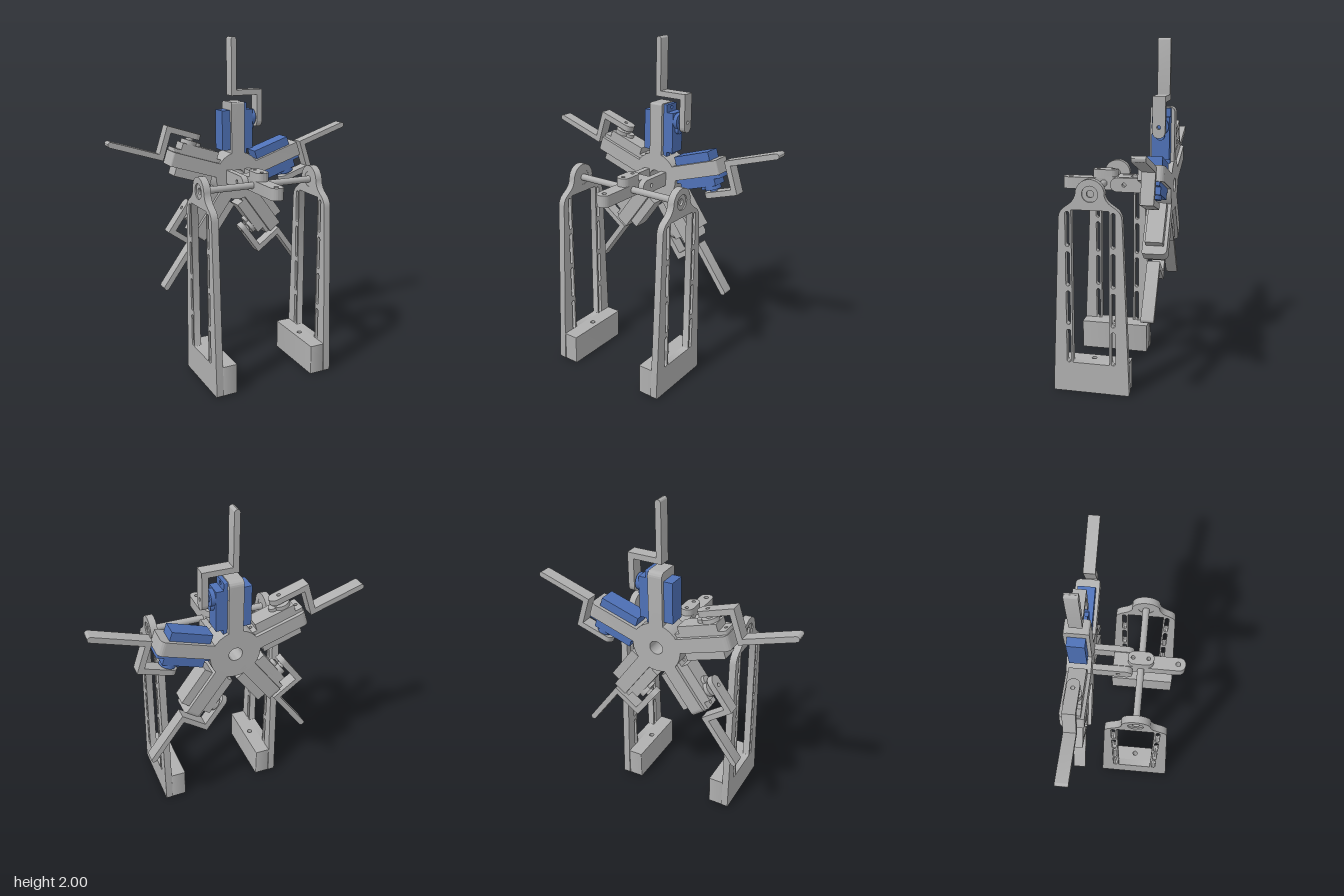
import * as THREE from 'three';
import { toCreasedNormals } from 'three/addons/utils/BufferGeometryUtils.js';

const grey = new THREE.MeshStandardMaterial({ color: 0xb0b0b0 });
grey.name = 'grey plastic';
const blue = new THREE.MeshStandardMaterial({ color: 0x4f72b8 });
blue.name = 'servo blue';

const HUB_Y = 1.17, HUB_Z = -0.265, ROD_Z = 0.078;

function add(parent, name, geometry, material = grey) {
  const mesh = new THREE.Mesh(geometry, material);
  mesh.name = name;
  parent.add(mesh);
  return mesh;
}

// Box from its limits on each axis
function box(x0, x1, y0, y1, z0, z1) {
  return new THREE.BoxGeometry(x1 - x0, y1 - y0, z1 - z0)
    .translate((x0 + x1) / 2, (y0 + y1) / 2, (z0 + z1) / 2);
}

function cylX(r, x0, x1, y, z, sides = 28) {
  return new THREE.CylinderGeometry(r, r, x1 - x0, sides)
    .rotateZ(Math.PI / 2).translate((x0 + x1) / 2, y, z);
}

function extrude(shape, depth) {
  const g = new THREE.ExtrudeGeometry(shape, { depth, bevelEnabled: false, curveSegments: 14 });
  return toCreasedNormals(g, 0.6);
}

// Shape drawn in (-z, y), pushed from x0 to x1
const extrudeX = (shape, x0, x1) => extrude(shape, x1 - x0).rotateY(Math.PI / 2).translate(x0, 0, 0);
// Shape drawn in (x, -z), pushed from y0 to y1
const extrudeY = (shape, y0, y1) => extrude(shape, y1 - y0).rotateX(-Math.PI / 2).translate(0, y0, 0);

// Rectangle with its own radius for the lower and upper corners
function roundRect(x0, x1, y0, y1, rLow, rHigh = rLow) {
  const s = new THREE.Shape();
  const P = Math.PI;
  s.absarc(x1 - rLow, y0 + rLow, rLow, -P / 2, 0);
  s.absarc(x1 - rHigh, y1 - rHigh, rHigh, 0, P / 2);
  s.absarc(x0 + rHigh, y1 - rHigh, rHigh, P / 2, P);
  s.absarc(x0 + rLow, y0 + rLow, rLow, P, 1.5 * P);
  s.closePath();
  return s;
}

function circleHole(x, y, r) {
  const p = new THREE.Path();
  p.absarc(x, y, r, 0, Math.PI * 2, true);
  return p;
}

// One arm with its servo and crank, pointing up from the hub centre
function makeArm(servoMaterial) {
  const arm = new THREE.Group();
  arm.name = 'arm';

  // Frame holding the servo, rounded at the rear outer corner
  const f = new THREE.Shape();
  f.moveTo(-0.07, 0.09);
  f.lineTo(0.07, 0.09);
  f.lineTo(0.07, 0.42);
  f.absarc(0.04, 0.42, 0.03, 0, Math.PI / 2);
  f.lineTo(-0.06, 0.45);
  f.absarc(-0.06, 0.44, 0.01, Math.PI / 2, Math.PI);
  f.closePath();
  const slot = roundRect(-0.048, 0.048, 0.162, 0.398, 0.002);
  f.holes.push(new THREE.Path(slot.getPoints()));
  add(arm, 'armFrame', extrudeX(f, -0.042, 0.043));

  // Servo body, flange and output gear
  const servo = new THREE.Group();
  servo.name = 'servo';
  arm.add(servo);
  add(servo, 'servoBody', box(-0.095, 0.108, 0.16, 0.4, -0.05, 0.05), servoMaterial);
  const flange = roundRect(-0.05, 0.05, 0.12, 0.445, 0.004);
  flange.holes.push(circleHole(0, 0.14, 0.01), circleHole(0, 0.424, 0.01));
  add(servo, 'servoFlange', extrudeX(flange, 0.044, 0.066), servoMaterial);
  add(servo, 'gearTower', cylX(0.048, 0.1, 0.132, 0.348, 0), servoMaterial);
  add(servo, 'gearStep', cylX(0.025, 0.1, 0.128, 0.295, 0), servoMaterial);
  add(servo, 'outputShaft', cylX(0.022, 0.13, 0.15, 0.348, 0), servoMaterial);

  // Cranked finger turned by the servo
  const crank = new THREE.Group();
  crank.name = 'crank';
  arm.add(crank);
  const plate = new THREE.Shape();
  plate.moveTo(0.036, 0.518);
  plate.lineTo(-0.036, 0.518);
  plate.lineTo(-0.036, 0.323);
  plate.absarc(0, 0.323, 0.036, Math.PI, Math.PI * 2);
  plate.closePath();
  plate.holes.push(circleHole(0, 0.348, 0.011));
  add(crank, 'crankPlate', extrudeX(plate, 0.145, 0.18));
  const finger = new THREE.Shape();
  finger.moveTo(0.18, 0.485);
  finger.lineTo(0.18, 0.518);
  finger.lineTo(0.008, 0.518);
  finger.lineTo(0.008, 0.814);
  finger.absarc(-0.0085, 0.8135, 0.0165, 0, Math.PI);
  finger.lineTo(-0.025, 0.485);
  finger.closePath();
  add(crank, 'crankFinger', extrude(finger, 0.072).translate(0, 0, -0.036));
  return arm;
}

// Five-armed rotor
function makeRotor() {
  const rotor = new THREE.Group();
  rotor.name = 'rotor';
  const disc = new THREE.Shape();
  disc.absarc(0, 0, 0.148, 0, Math.PI * 2);
  disc.holes.push(circleHole(0, 0, 0.04));
  add(rotor, 'hub', extrude(disc, 0.14).translate(0, 0, -0.07));
  for (let i = 0; i < 5; i++) {
    const arm = makeArm(i < 2 ? blue : grey);
    arm.rotation.z = -i * Math.PI * 2 / 5;
    rotor.add(arm);
  }
  rotor.position.set(0, HUB_Y, HUB_Z);
  return rotor;
}

// Lugs, hinge and link joining the rotor to the rod
function makeBracket() {
  const bracket = new THREE.Group();
  bracket.name = 'bracket';
  for (const s of [-1, 1]) {
    const lug = new THREE.Shape();
    lug.moveTo(0.2, 1.128);
    lug.lineTo(0.2, 1.212);
    lug.lineTo(0.01, 1.212);
    lug.absarc(0.01, 1.17, 0.042, Math.PI / 2, Math.PI * 1.5);
    lug.closePath();
    lug.holes.push(circleHole(0.05, 1.17, 0.012));
    add(bracket, 'hingeLug', extrudeX(lug, s * 0.061 - 0.018, s * 0.061 + 0.018));
  }
  add(bracket, 'hingeBlock', box(-0.04, 0.04, 1.13, 1.21, -0.08, 0.07));
  const link = roundRect(-0.04, 0.04, -0.332, 0, 0.039, 0.005);
  link.holes.push(circleHole(0, -0.288, 0.014));
  add(bracket, 'link', extrudeY(link, 1.13, 1.2));
  const clamp = roundRect(-0.04, 0.04, -0.15, 0, 0.039);
  clamp.holes.push(circleHole(0, -0.03, 0.011), circleHole(0, -0.118, 0.011));
  add(bracket, 'rodClamp', extrudeY(clamp, 1.19, 1.25));
  return bracket;
}

// Tapered leg plate with window, slots, bearing and foot
function makeLeg(side) {
  const leg = new THREE.Group();
  leg.name = side > 0 ? 'leftLeg' : 'rightLeg';
  const span = (a, b) => (side > 0 ? [a, b] : [-b, -a]);

  const s = new THREE.Shape();
  s.moveTo(-0.212, 0);
  s.lineTo(0.212, 0);
  s.quadraticCurveTo(0.224, 0, 0.223, 0.014);
  s.lineTo(0.18, 1.03);
  s.bezierCurveTo(0.175, 1.11, 0.1, 1.09, 0.08, 1.165);
  s.absarc(0, HUB_Y, 0.082, 0, Math.PI);
  s.bezierCurveTo(-0.1, 1.09, -0.175, 1.11, -0.18, 1.03);
  s.lineTo(-0.223, 0.014);
  s.quadraticCurveTo(-0.224, 0, -0.212, 0);
  s.holes.push(new THREE.Path(roundRect(-0.107, 0.107, 0.18, 1.08, 0.004).getPoints()));
  s.holes.push(circleHole(0, HUB_Y, 0.045));
  for (const m of [-1, 1]) {
    for (let i = 0; i < 4; i++) {
      const y = 0.18 + i * 0.23;
      s.holes.push(new THREE.Path(
        roundRect(m * 0.13 - 0.012, m * 0.13 + 0.012, y, y + 0.2, 0.0119).getPoints()));
    }
  }
  add(leg, 'legPlate', extrudeX(s, ...span(0.338, 0.38)).translate(0, 0, ROD_Z));

  const ring = new THREE.Shape();
  ring.absarc(0, HUB_Y, 0.046, 0, Math.PI * 2);
  ring.holes.push(circleHole(0, HUB_Y, 0.02));
  add(leg, 'bearing', extrudeX(ring, ...span(0.34, 0.372)).translate(0, 0, ROD_Z));

  // Foot reaching inwards, with a vertical bolt hole
  const [x0, x1] = span(0.248, 0.338);
  const foot = roundRect(x0, x1, -0.293, 0.137, 0.004);
  foot.holes.push(circleHole(side * 0.293, -ROD_Z, 0.015));
  add(leg, 'foot', extrudeY(foot, 0, 0.18));
  return leg;
}

export function createModel() {
  const model = new THREE.Group();
  model.name = 'rotorOnStand';
  model.add(makeRotor(), makeBracket(), makeLeg(1), makeLeg(-1));
  add(model, 'rod', cylX(0.02, -0.36, 0.36, HUB_Y, ROD_Z));
  return model;
}
